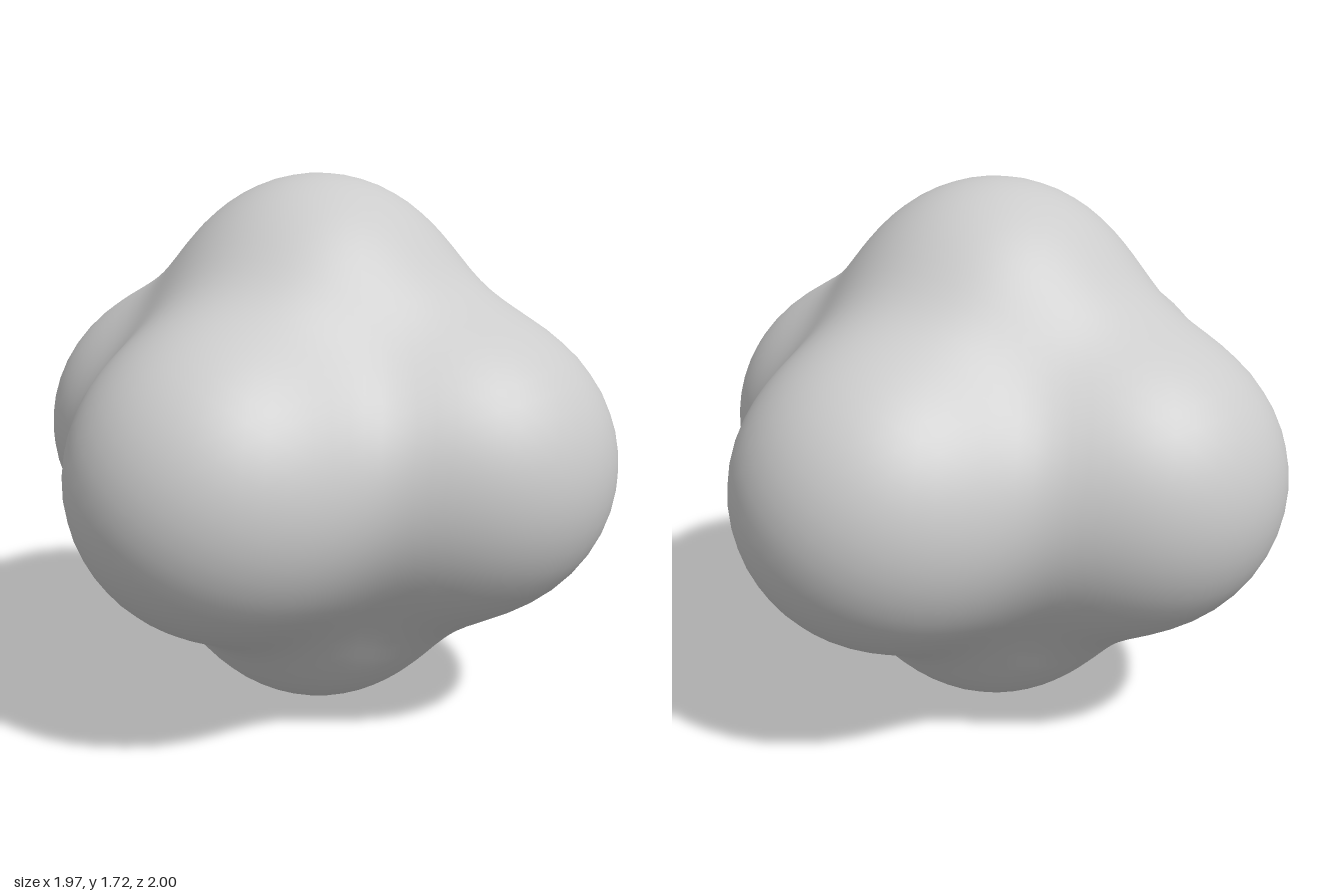
import * as THREE from 'three';

const CENTRE_Y = 0.86;
const BALL_RADIUS = 0.47;
const SOFTNESS = 0.113; // larger values fill the valleys between lobes

// One ball per axis direction, melted together into a single blob
const balls = [];
for (const s of [-1, 1]) {
  balls.push(
    new THREE.Vector3(s * 0.515, 0, 0),
    new THREE.Vector3(0, s * 0.39, 0),
    new THREE.Vector3(0, 0, s * 0.53),
  );
}

// Pull of one ball at a point
const pull = (p, ball) => Math.exp((BALL_RADIUS ** 2 - p.distanceToSquared(ball)) / SOFTNESS);

// Above 1 inside the blob, below 1 outside
const field = (p) => balls.reduce((sum, ball) => sum + pull(p, ball), 0);

// Radius of the skin along a direction, found by halving
function skinRadius(dir) {
  const p = new THREE.Vector3();
  let inside = 0.3, outside = 1.2;
  for (let i = 0; i < 24; i++) {
    const mid = (inside + outside) / 2;
    if (field(p.copy(dir).multiplyScalar(mid)) > 1) inside = mid;
    else outside = mid;
  }
  return inside;
}

// Smooth outward normal: away along the slope of the field
function skinNormal(p) {
  const normal = new THREE.Vector3();
  const away = new THREE.Vector3();
  for (const ball of balls) {
    normal.addScaledVector(away.subVectors(p, ball), pull(p, ball));
  }
  return normal.normalize();
}

export function createModel() {
  const group = new THREE.Group();
  group.name = 'lobedBlob';

  // Push every vertex of an even sphere out to the skin
  const geometry = new THREE.IcosahedronGeometry(1, 16);
  const { position, normal } = geometry.attributes;
  for (let i = 0; i < position.count; i++) {
    const v = new THREE.Vector3(position.getX(i), position.getY(i), position.getZ(i)).normalize();
    v.multiplyScalar(skinRadius(v));
    const n = skinNormal(v);
    position.setXYZ(i, v.x, v.y, v.z);
    normal.setXYZ(i, n.x, n.y, n.z);
  }

  const body = new THREE.Mesh(geometry, new THREE.MeshStandardMaterial({ color: 0xcccccc }));
  body.name = 'sixLobedBody';
  body.position.y = CENTRE_Y;
  group.add(body);
  return group;
}
